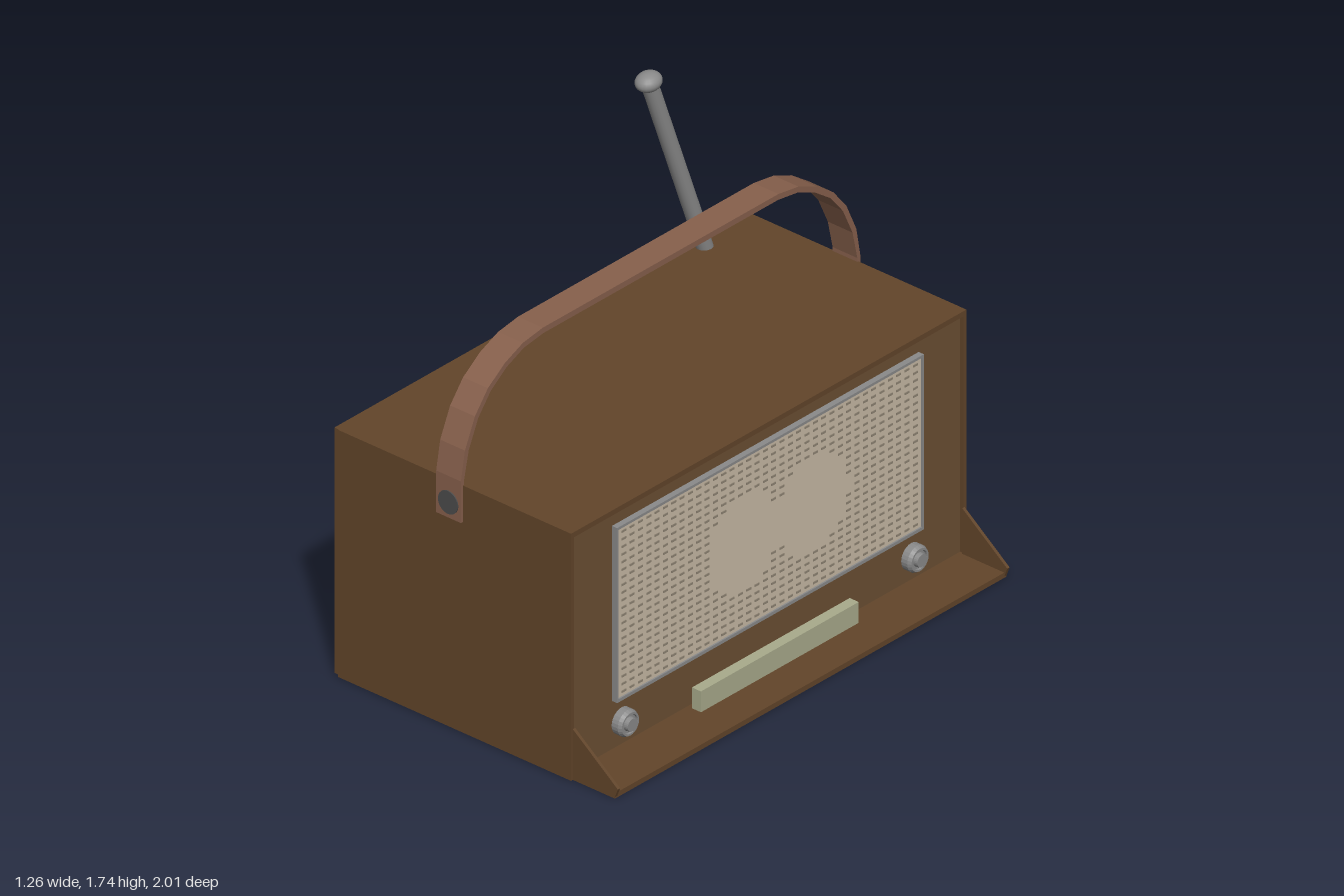
import * as THREE from 'three';
import { mergeGeometries } from 'three/addons/utils/BufferGeometryUtils.js';

const paint = (color) => new THREE.MeshStandardMaterial({ color });
const wood = paint(0x62452a);
const panelWood = paint(0x6b4f33);
const leather = paint(0x87604c);
const metal = paint(0x8a8a8a);
const darkMetal = paint(0x4c4c4c);
const cloth = paint(0xc8baa5);
const weave = paint(0x8f8474);
const ivory = paint(0xa9ab8c);

export function createModel() {
  const root = new THREE.Group();

  const add = (name, geometry, material, parent = root) => {
    const mesh = new THREE.Mesh(geometry, material);
    mesh.name = name;
    parent.add(mesh);
    return mesh;
  };
  // Box given by its limits on each axis
  const box = (x0, x1, y0, y1, z0, z1) => new THREE.BoxGeometry(x1 - x0, y1 - y0, z1 - z0)
    .translate((x0 + x1) / 2, (y0 + y1) / 2, (z0 + z1) / 2);

  // Cabinet: solid core, with a thin rim standing proud of the control face
  add('cabinet', box(-0.605, 0.41, 0, 0.95, -0.99, 0.99), wood);
  add('controlFace', box(0.40, 0.415, 0.02, 0.93, -0.975, 0.975), panelWood);
  add('topRim', box(0.41, 0.43, 0.93, 0.95, -0.99, 0.99), wood);
  add('backGap', box(-0.612, -0.605, 0.01, 0.94, -0.97, 0.97), panelWood);
  add('backPanel', box(-0.63, -0.61, 0.002, 0.945, -0.98, 0.98), wood);

  // Shelf below the face, with a raised lip and sloping cheeks
  add('shelf', box(0.41, 0.617, 0, 0.02, -0.98, 0.98), wood);
  const cheek = new THREE.Shape([
    [0.43, 0], [0.615, 0], [0.63, 0.04], [0.43, 0.195],
  ].map(([x, y]) => new THREE.Vector2(x, y)));
  for (const side of [1, -1]) {
    add('sideRim', box(0.41, 0.43, 0, 0.93, side * 0.9825 - 0.0075, side * 0.9825 + 0.0075), wood);
    const geo = new THREE.ExtrudeGeometry(cheek, { depth: 0.012, bevelEnabled: false });
    add('shelfCheek', geo.translate(0, 0, side * 0.975 - 0.006), wood);
  }

  // Speaker grille: cloth panel, thin frame and rows of woven dashes
  const grille = new THREE.Group();
  grille.name = 'grille';
  root.add(grille);
  add('grilleCloth', box(0.41, 0.432, 0.215, 0.87, -0.76, 0.76), cloth, grille);
  const bars = [box(0.41, 0.438, 0.205, 0.217, -0.768, 0.768), box(0.41, 0.438, 0.868, 0.878, -0.768, 0.768)];
  for (const s of [1, -1]) bars.push(box(0.41, 0.438, 0.217, 0.868, s * 0.764 - 0.004, s * 0.764 + 0.004));
  add('grilleFrame', mergeGeometries(bars), metal, grille);
  const dashes = [];
  const speakers = [[0.13, 0.54], [-0.22, 0.54]];
  for (let row = 0; row < 22; row++) {
    for (let col = 0; col < 36; col++) {
      const y = 0.235 + row * 0.0293;
      const z = -0.73 + col * 0.0417;
      if (speakers.some(([sz, sy]) => Math.hypot(z - sz, y - sy) < 0.18)) continue;
      dashes.push(box(0.431, 0.435, y - 0.004, y + 0.004, z - 0.011, z + 0.011));
    }
  }
  add('grilleWeave', mergeGeometries(dashes), weave, grille);

  // Two stepped knobs
  const knobProfile = [[0, 0], [0.05, 0], [0.05, 0.03], [0.043, 0.043], [0.036, 0.043], [0.034, 0.036],
    [0.026, 0.036], [0.024, 0.052], [0, 0.052]].map(([r, h]) => new THREE.Vector2(r, h));
  for (const z of [0.72, -0.73]) {
    const knob = add('knob', new THREE.LatheGeometry(knobProfile, 24), new THREE.MeshStandardMaterial({ color: 0x8a8a8a, flatShading: true }));
    knob.rotation.z = -Math.PI / 2;
    knob.position.set(0.412, 0.11, z);
  }

  // Tuning scale bar
  add('tuningBar', box(0.435, 0.475, 0.02, 0.1, -0.4, 0.39), ivory);

  // Carrying strap: outer outline and a parallel inner one, extruded across its width
  const outer = [[1, 0.81], [1, 0.97], [0.98, 1.08], [0.93, 1.19], [0.865, 1.27], [0.78, 1.33], [0.69, 1.368], [0.59, 1.383]];
  const inner = [[0.985, 0.81], [0.985, 0.965], [0.961, 1.073], [0.913, 1.177], [0.85, 1.254], [0.77, 1.311], [0.685, 1.347], [0.588, 1.361]];
  const mirror = (pts) => [...pts, ...pts.map(([z, y]) => [-z, y]).reverse()];
  const strapShape = new THREE.Shape([...mirror(outer), ...mirror(inner).reverse()]
    .map(([z, y]) => new THREE.Vector2(z, y)));
  const strap = new THREE.ExtrudeGeometry(strapShape, { depth: 0.11, bevelEnabled: false });
  add('carryStrap', strap.rotateY(-Math.PI / 2).translate(-0.05, 0, 0), leather);
  for (const s of [1, -1]) {
    const rivet = add('strapRivet', new THREE.CylinderGeometry(0.044, 0.044, 0.02, 20), darkMetal);
    rivet.rotation.x = Math.PI / 2;
    rivet.position.set(-0.105, 0.87, s * 0.994);
  }

  // Leaning aerial with a flattened tip
  const foot = new THREE.Vector3(-0.5, 0.92, -0.738);
  const tip = new THREE.Vector3(-0.5, 1.705, -0.447);
  const along = tip.clone().sub(foot);
  const rod = add('aerialRod', new THREE.CylinderGeometry(0.03, 0.03, along.length(), 16), metal);
  rod.position.copy(foot).addScaledVector(along, 0.5);
  rod.quaternion.setFromUnitVectors(new THREE.Vector3(0, 1, 0), along.clone().normalize());
  const ball = add('aerialTip', new THREE.SphereGeometry(0.047, 20, 12), metal);
  ball.scale.set(0.95, 0.72, 1.08);
  ball.position.copy(tip);
  ball.rotation.x = 0.1;

  return root;
}
